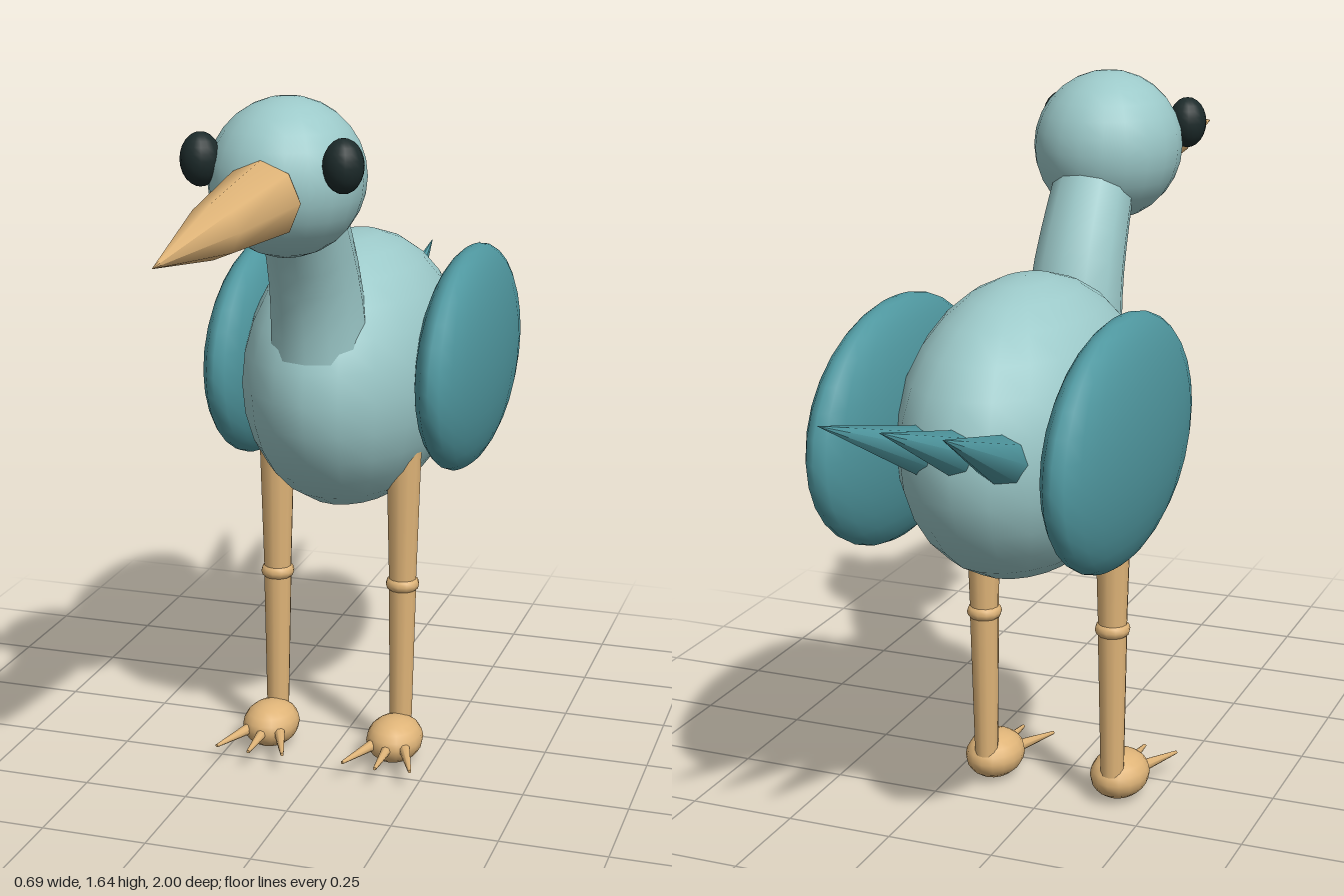
import * as THREE from 'three';

const mat = (color) => new THREE.MeshStandardMaterial({ color });
const plumage = mat(0x9cc9c9), feather = mat(0x4f979f), horn = mat(0xdfb478), black = mat(0x1c2a2a);
const V = (x, y, z) => new THREE.Vector3(x, y, z);

export function createModel() {
  const bird = new THREE.Group();
  bird.name = 'bird';

  const add = (name, geometry, material, parent = bird) => {
    const mesh = new THREE.Mesh(geometry, material);
    mesh.name = name;
    parent.add(mesh);
    return mesh;
  };

  // Sphere stretched to the given centre and radii
  const ellipsoid = (name, center, radii, material, parent, w = 20, h = 14) => {
    const mesh = add(name, new THREE.SphereGeometry(1, w, h), material, parent);
    mesh.position.copy(center);
    mesh.scale.copy(radii);
    return mesh;
  };

  // Tapered round part running from a to b
  const taper = (name, a, b, ra, rb, sides, material, parent) => {
    const dir = b.clone().sub(a);
    const mesh = add(name, new THREE.CylinderGeometry(rb, ra, dir.length(), sides), material, parent);
    mesh.position.copy(a).addScaledVector(dir, 0.5);
    mesh.quaternion.setFromUnitVectors(V(0, 1, 0), dir.normalize());
    return mesh;
  };

  ellipsoid('body', V(0, 0.935, -0.28), V(0.25, 0.33, 0.41), plumage);
  ellipsoid('head', V(0, 1.472, 0.225), V(0.17, 0.172, 0.187), plumage);

  // Neck: a bent tube, thinner towards the head
  const path = new THREE.CatmullRomCurve3([
    V(0, 0.97, -0.01), V(0, 1.1, 0.005), V(0, 1.21, 0.035), V(0, 1.33, 0.095), V(0, 1.45, 0.17)]);
  const rings = 8, sides = 12;
  const neck = new THREE.TubeGeometry(path, rings, 1, sides);
  const p = neck.attributes.position;
  for (let i = 0; i < p.count; i++) {
    const t = Math.floor(i / (sides + 1)) / rings;
    const c = path.getPointAt(t);
    const v = V(0, 0, 0).fromBufferAttribute(p, i).sub(c).multiplyScalar(0.118 - 0.028 * t).add(c);
    p.setXYZ(i, v.x, v.y, v.z);
  }
  neck.computeVertexNormals();
  add('neck', neck, plumage);

  // Beak: eight-sided, tapering faster past the middle
  const profile = [[0, 0], [0.086, 0], [0.086, 0.001], [0.057, 0.29], [0, 0.605]];
  const beak = add('beak', new THREE.LatheGeometry(profile.map(([r, y]) => new THREE.Vector2(r, y)), 8), horn);
  beak.position.set(0, 1.447, 0.395);
  beak.rotation.x = Math.PI / 2 + 0.035;

  // Tail feathers fan out backwards
  for (const i of [-1, 0, 1]) {
    taper('tailFeather', V(i * 0.085, 0.95, -0.6), V(i * 0.13, 1.11, -1), 0.057, 0, 8, feather);
  }

  for (const s of [-1, 1]) {
    const side = s > 0 ? 'left' : 'right';
    ellipsoid(side + 'Eye', V(s * 0.157, 1.518, 0.33), V(0.044, 0.058, 0.045), black, bird, 16, 12);
    ellipsoid(side + 'Wing', V(s * 0.257, 0.953, -0.388), V(0.088, 0.267, 0.396), feather, bird, 24, 16);

    const leg = new THREE.Group();
    leg.name = side + 'Leg';
    leg.position.x = s * 0.158;
    bird.add(leg);
    taper('thigh', V(0, 0.43, -0.16), V(0, 0.78, -0.16), 0.033, 0.043, 12, horn, leg);
    ellipsoid('knee', V(0, 0.437, -0.16), V(0.041, 0.026, 0.041), horn, leg, 12, 8);
    taper('shin', V(0, 0.06, -0.157), V(0, 0.437, -0.16), 0.027, 0.034, 12, horn, leg);
    ellipsoid('foot', V(0, 0.058, -0.105), V(0.068, 0.055, 0.085), horn, leg, 16, 10);
    for (const i of [-1, 0, 1]) {
      taper('toe', V(i * 0.035, 0.058, -0.06), V(i * 0.083, 0.052, i ? 0.06 : 0.07), 0.015, 0.004, 8, horn, leg);
    }
  }
  return bird;
}
